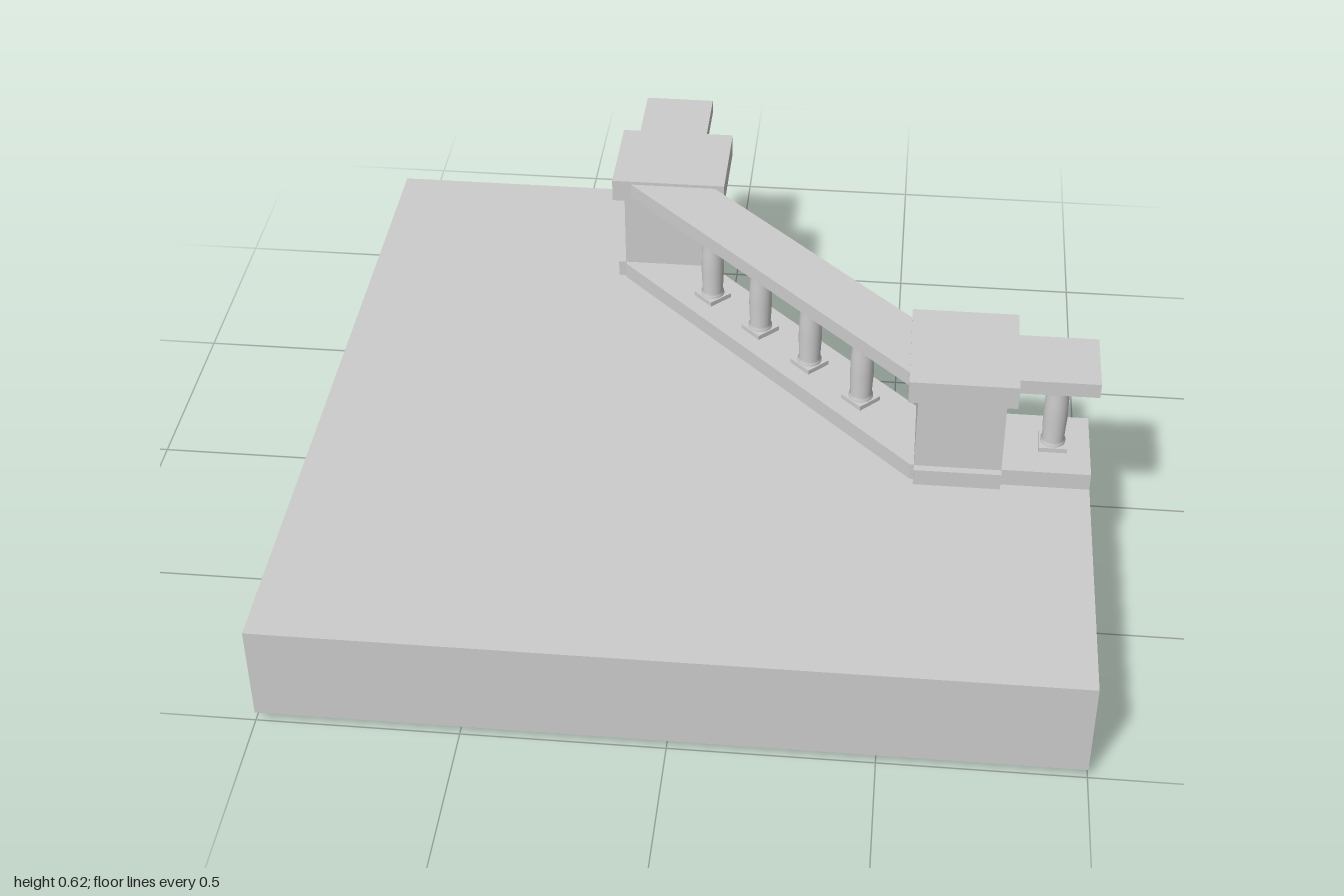
import * as THREE from 'three';

const material = new THREE.MeshStandardMaterial({ color: 0xcccccc });

function add(parent, name, geometry) {
  const mesh = new THREE.Mesh(geometry, material);
  mesh.name = name;
  parent.add(mesh);
  return mesh;
}

// Box given by its min and max corners
function box(x0, x1, y0, y1, z0, z1) {
  return new THREE.BoxGeometry(x1 - x0, y1 - y0, z1 - z0)
    .translate((x0 + x1) / 2, (y0 + y1) / 2, (z0 + z1) / 2);
}

const shapeOf = (points) => new THREE.Shape(points.map(([a, b]) => new THREE.Vector2(a, b)));

// Line of the bent balustrade: straight at z, diagonal along x - z = d, straight at x = -z
const bentLine = (z, d) => [[1, z], [z + d, z], [-z, -z - d], [-z, -1]];

// Plan outline (x, z) raised from y0 to y1
function slabFromPlan(plan, y0, y1) {
  return new THREE.ExtrudeGeometry(shapeOf(plan.map(([x, z]) => [x, -z])), { depth: y1 - y0, bevelEnabled: false })
    .rotateX(-Math.PI / 2).translate(0, y0, 0);
}

const band = (outer, inner, y0, y1) =>
  slabFromPlan([...bentLine(...outer), ...bentLine(...inner).reverse()], y0, y1);

// Square pillar, outward face towards -z
function createPillar() {
  const pillar = new THREE.Group();
  pillar.name = 'pillar';
  const w = 0.11;

  // Shaft with a sloping underside
  const side = shapeOf([[0.037, 0.106], [0.17, 0], [0.28, 0], [0.28, 0.555], [0.037, 0.555]]);
  add(pillar, 'pillarBody', new THREE.ExtrudeGeometry(side, { depth: 2 * w, bevelEnabled: false })
    .rotateY(-Math.PI / 2).translate(w, 0, 0));

  // Face plate framing a recessed panel
  const face = shapeOf([[-w, 0.115], [w, 0.115], [w, 0.555], [-w, 0.555]]);
  const p = 0.083;
  face.holes.push(shapeOf([[-p, 0.315], [-p, 0.53], [p, 0.53], [p, 0.315]]));
  add(pillar, 'panelFrame', new THREE.ExtrudeGeometry(face, { depth: 0.012, bevelEnabled: false })
    .translate(0, 0, 0.025));

  add(pillar, 'pillarFoot', box(-w, w, 0.286, 0.332, 0.27, 0.3));
  add(pillar, 'pillarCap', box(-0.135, 0.135, 0.553, 0.616, 0, 0.31));
  return pillar;
}

// Small column between plinth and handrail
function createBaluster(x, z, angle) {
  const baluster = new THREE.Group();
  baluster.name = 'baluster';
  add(baluster, 'balusterBase', box(-0.036, 0.036, 0.33, 0.345, -0.036, 0.036));
  const profile = [[0.032, 0.343], [0.032, 0.352], [0.028, 0.356], [0.031, 0.42], [0.03, 0.48],
    [0.026, 0.54], [0.03, 0.545], [0.03, 0.557]].map(([r, y]) => new THREE.Vector2(r, y));
  add(baluster, 'balusterShaft', new THREE.LatheGeometry(profile, 24));
  add(baluster, 'balusterHead', box(-0.036, 0.036, 0.555, 0.569, -0.036, 0.036));
  baluster.position.set(x, 0, z);
  baluster.rotation.y = angle;
  return baluster;
}

export function createModel() {
  const model = new THREE.Group();
  model.name = 'cornerBalcony';

  // Floor with its cut corner, and the stepped wall under the balustrade
  add(model, 'floor', slabFromPlan([...bentLine(0.28, 0.27), [-1, -1], [-1, 1], [1, 1]], 0.025, 0.286));
  add(model, 'lowerWall', band([0.22, 0.31], [0.28, 0.27], 0, 0.17));
  add(model, 'plinth', band([0.045, 0.52], [0.278, 0.267], 0.165, 0.332));
  add(model, 'handrail', band([0.075, 0.505], [0.265, 0.272], 0.567, 0.607));

  // Pillars at the two bends
  const leftPillar = createPillar();
  leftPillar.position.x = 0.665;
  const backPillar = createPillar();
  backPillar.position.z = -0.665;
  backPillar.rotation.y = -Math.PI / 2;
  model.add(leftPillar, backPillar);

  // Four diagonal balusters and one on each straight end
  for (let i = 0; i < 4; i++) {
    const x = -0.02 + i * 0.143;
    model.add(createBaluster(x, x - 0.39, Math.PI / 4));
  }
  model.add(createBaluster(0.905, 0.16, 0), createBaluster(-0.16, -0.905, 0));
  return model;
}
